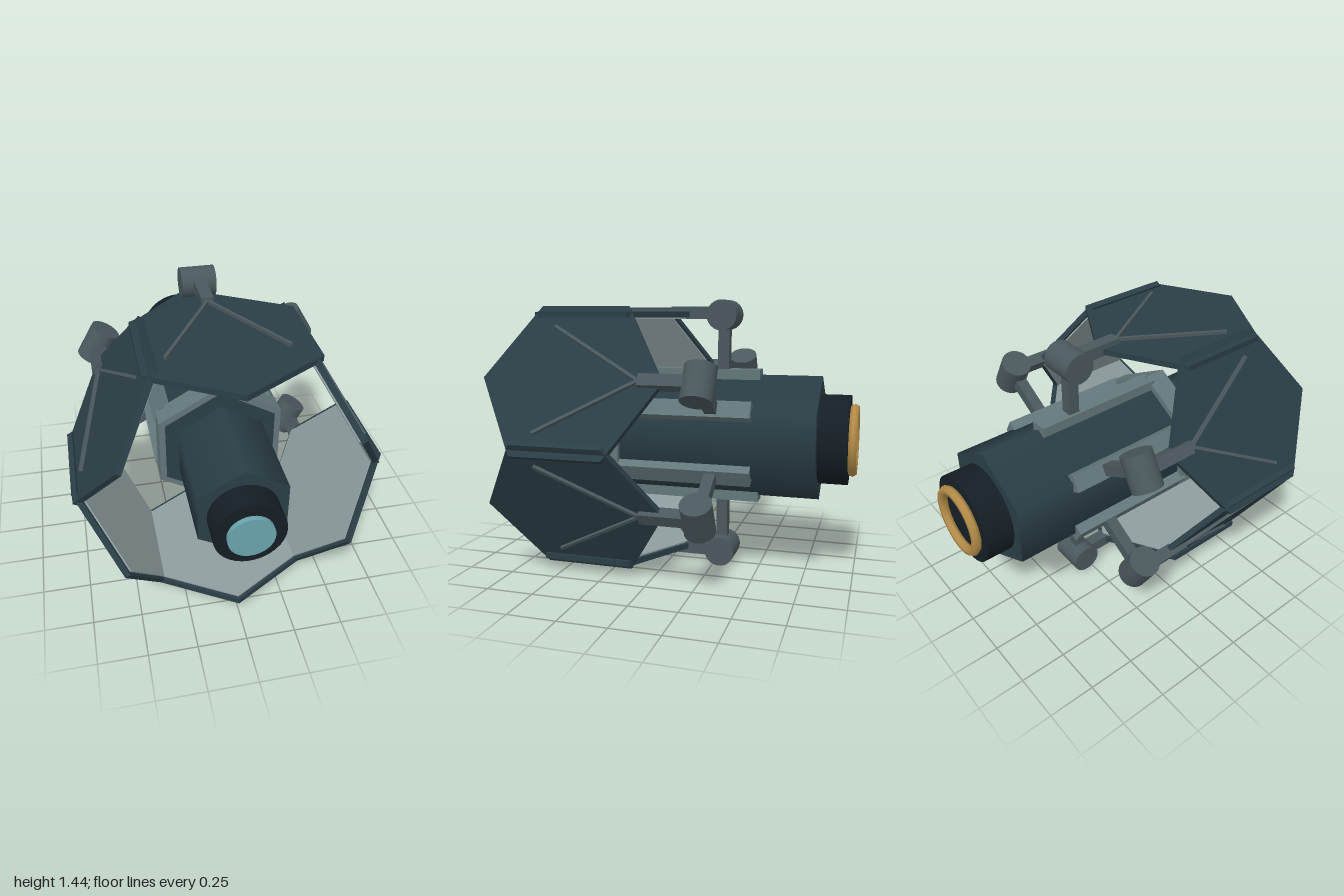
import * as THREE from 'three';

const AXIS_Y = 0.72;
const mat = (color, extra = {}) => new THREE.MeshStandardMaterial({ color, ...extra });
const hull = mat(0x2a3e46);
const plate = mat(0x2a3e46, { flatShading: true });
const lining = mat(0x8f9ea0, { flatShading: true });
const trim = mat(0x63777b, { flatShading: true });
const metal = mat(0x4a585d);
const black = mat(0x151e25);
const gold = mat(0xb58d49);
const glass = mat(0x6aa5ad);

function add(parent, name, geometry, material, x = 0, y = 0, z = 0) {
  const mesh = new THREE.Mesh(geometry, material);
  mesh.name = name;
  mesh.position.set(x, y, z);
  parent.add(mesh);
  return mesh;
}

// Cylinder or prism lying along z between z0 and z1
function along(parent, name, radius, z0, z1, sides, material) {
  const g = new THREE.CylinderGeometry(radius, radius, z1 - z0, sides).rotateX(Math.PI / 2);
  return add(parent, name, g, material, 0, 0, (z0 + z1) / 2);
}

// One of six identical sectors, built pointing straight up
function buildSector() {
  const s = new THREE.Group();
  s.name = 'panelArm';

  // Rail on the hull corner, post and hinge
  add(s, 'rail', new THREE.BoxGeometry(0.09, 0.06, 0.72), trim, 0, 0.326, -0.13);
  add(s, 'post', new THREE.BoxGeometry(0.06, 0.34, 0.06), metal, 0, 0.47, -0.29);
  const hinge = new THREE.CylinderGeometry(0.08, 0.08, 0.184, 24).rotateZ(Math.PI / 2);
  add(s, 'hinge', hinge, metal, 0, 0.64, -0.29);
  add(s, 'bracket', new THREE.BoxGeometry(0.063, 0.065, 0.29), metal, 0, 0.652, -0.145);

  // Hexagonal panel with a pale inner lining
  add(s, 'panel', new THREE.CylinderGeometry(0.475, 0.475, 0.03, 6), plate, 0, 0.642, 0.355);
  add(s, 'panelLining', new THREE.CylinderGeometry(0.455, 0.455, 0.01, 6), lining, 0, 0.624, 0.355);

  // Two ribs spreading out from the bracket
  for (const side of [-1, 1]) {
    const rib = add(s, 'panelRib', new THREE.BoxGeometry(0.016, 0.025, 0.57), metal, side * 0.145, 0.662, 0.245);
    rib.rotation.y = side * Math.atan2(0.29, 0.49);
  }
  return s;
}

export function createModel() {
  const model = new THREE.Group();
  model.name = 'spacecraft';
  const craft = new THREE.Group();
  craft.name = 'craft';
  craft.position.y = AXIS_Y;
  model.add(craft);

  // Central hull
  along(craft, 'mainHull', 0.328, -0.81, 0.334, 6, hull);
  along(craft, 'frontHull', 0.25, 0.3, 0.84, 6, hull);
  along(craft, 'collar', 0.365, 0.21, 0.33, 6, trim);

  // Nose and lens
  along(craft, 'nose', 0.174, 0.82, 0.975, 32, black);
  along(craft, 'lens', 0.1125, 0.96, 1.0, 32, glass);

  // Tail and ring
  along(craft, 'tail', 0.234, -0.958, -0.8, 32, black);
  add(craft, 'tailRing', new THREE.TorusGeometry(0.165, 0.025, 6, 36), gold, 0, 0, -0.978);

  // Six arms with panels around the hull
  for (let i = 0; i < 6; i++) {
    const sector = buildSector();
    sector.rotation.z = (i * Math.PI) / 3;
    craft.add(sector);
  }
  return model;
}
